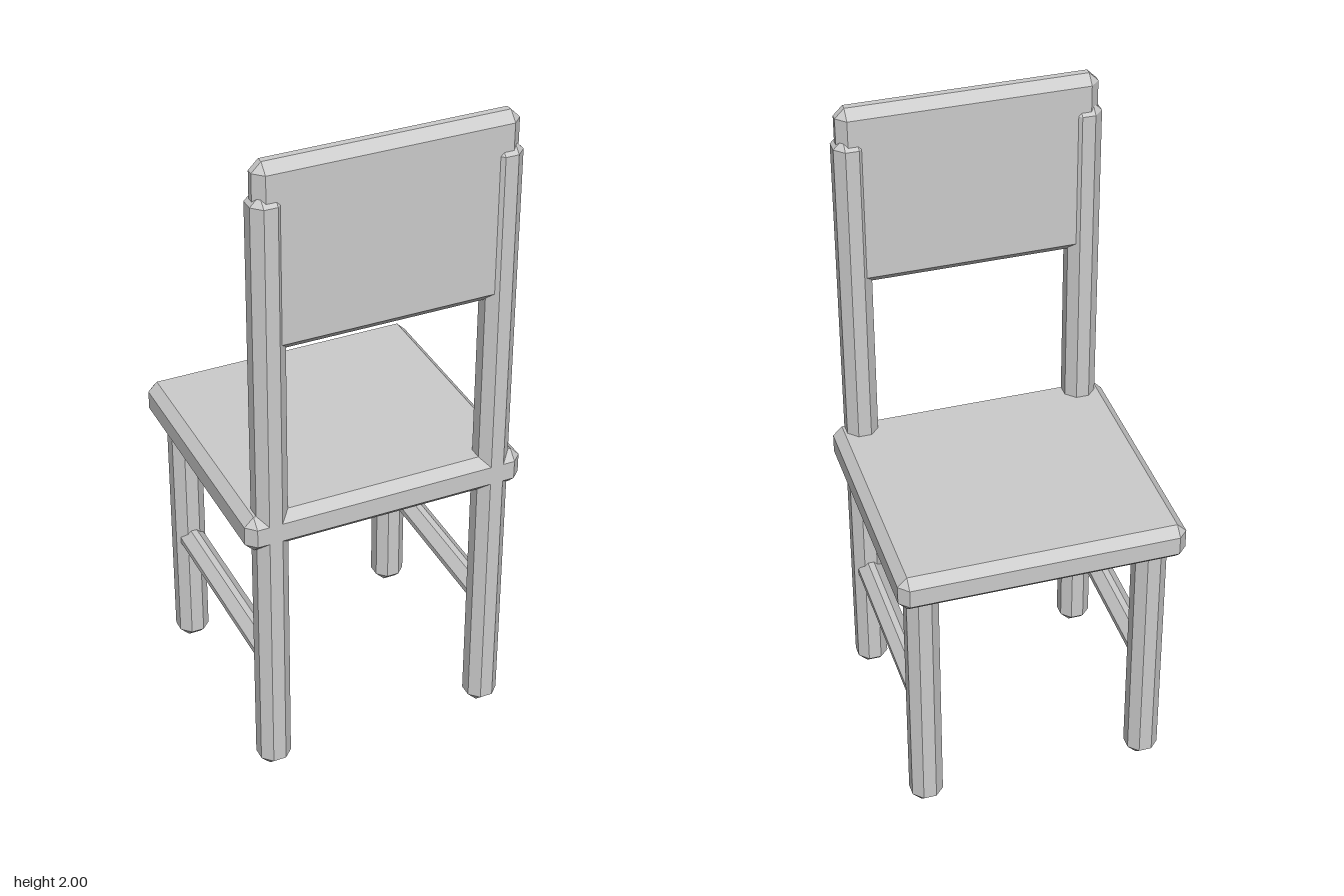
import * as THREE from 'three';
import { ConvexGeometry } from 'three/addons/geometries/ConvexGeometry.js';

const CHAMFER = 0.028;
const material = new THREE.MeshStandardMaterial({ color: 0xcccccc, flatShading: true });

// Box with every edge cut at 45 degrees, given by its extents on each axis
function chamferBox(name, [x0, x1], [y0, y1], [z0, z1], c = CHAMFER) {
  const hx = (x1 - x0) / 2, hy = (y1 - y0) / 2, hz = (z1 - z0) / 2;
  const points = [];
  for (const sx of [-1, 1]) for (const sy of [-1, 1]) for (const sz of [-1, 1]) {
    points.push(
      new THREE.Vector3(sx * hx, sy * (hy - c), sz * (hz - c)),
      new THREE.Vector3(sx * (hx - c), sy * hy, sz * (hz - c)),
      new THREE.Vector3(sx * (hx - c), sy * (hy - c), sz * hz),
    );
  }
  const mesh = new THREE.Mesh(new ConvexGeometry(points), material);
  mesh.name = name;
  mesh.position.set((x0 + x1) / 2, (y0 + y1) / 2, (z0 + z1) / 2);
  return mesh;
}

export function createModel() {
  const chair = new THREE.Group();
  chair.name = 'chair';

  // Seat and backrest panel
  chair.add(chamferBox('seat', [-0.427, 0.427], [0.803, 0.917], [-0.4, 0.4]));
  chair.add(chamferBox('backrest', [-0.381, 0.381], [1.435, 2], [0.314, 0.39]));

  // Posts, legs and side rungs, mirrored left and right
  for (const [side, s] of [['left', 1], ['right', -1]]) {
    const span = (a, b) => (s > 0 ? [a, b] : [-b, -a]);
    chair.add(chamferBox(`${side}TallPost`, span(0.296, 0.391), [0, 1.91], [0.305, 0.4]));
    chair.add(chamferBox(`${side}ShortLeg`, span(0.296, 0.391), [0, 0.86], [-0.35, -0.255]));
    chair.add(chamferBox(`${side}Rung`, span(0.306, 0.381), [0.35, 0.425], [-0.3, 0.347]));
  }
  return chair;
}
